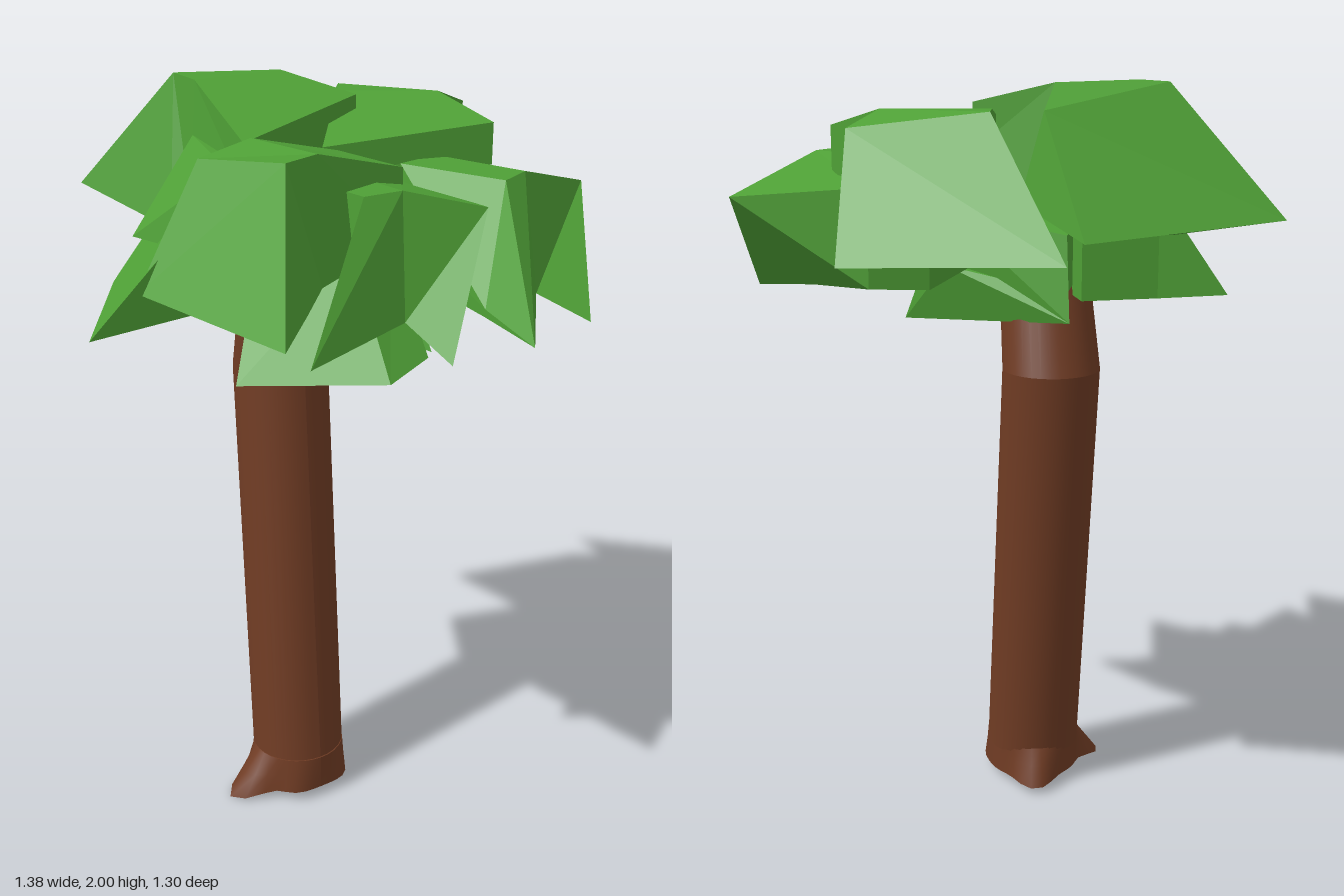
import * as THREE from 'three';

const leafGreen = new THREE.MeshStandardMaterial({ color: 0x4fa036, flatShading: true, side: THREE.DoubleSide });
leafGreen.name = 'leafGreen';
const barkBrown = new THREE.MeshStandardMaterial({ color: 0x703c24 });
barkBrown.name = 'barkBrown';

// Closed folded slab: rows run from the sharp outer edge to the crown.
// Each point is [x, y, z, drop, dx, dz]; drop is the thickness below that point,
// dx and dz flare the point below sideways.
function leafGeometry(rows, thickness) {
  const top = rows.map(row => row.map(p => new THREE.Vector3(p[0], p[1], p[2])));
  const bottom = rows.map((row, r) => row.map(([x, y, z, drop = r === 0 ? 0 : thickness, dx = 0, dz = 0]) =>
    new THREE.Vector3(x + dx, y - drop, z + dz)));
  const tris = [];
  const quad = (a, b, c, d) => {
    for (const t of [[a, b, c], [a, c, d]]) {
      const area = new THREE.Vector3().subVectors(t[1], t[0])
        .cross(new THREE.Vector3().subVectors(t[2], t[0])).length();
      if (area > 1e-7) tris.push(t);
    }
  };
  const R = rows.length - 1, C = rows[0].length - 1;
  for (let r = 0; r < R; r++) {
    for (let c = 0; c < C; c++) {
      quad(top[r][c], top[r + 1][c], top[r + 1][c + 1], top[r][c + 1]);
      quad(bottom[r][c], bottom[r][c + 1], bottom[r + 1][c + 1], bottom[r + 1][c]);
    }
    quad(top[r][0], bottom[r][0], bottom[r + 1][0], top[r + 1][0]);
    quad(top[r][C], top[r + 1][C], bottom[r + 1][C], bottom[r][C]);
  }
  for (let c = 0; c < C; c++) quad(top[R][c], bottom[R][c], bottom[R][c + 1], top[R][c + 1]);

  // Turn the faces outward
  const volume = tris.reduce((v, [a, b, c]) => v + a.dot(b.clone().cross(c)), 0);
  const pos = [];
  for (const [a, b, c] of tris)
    for (const p of volume > 0 ? [a, b, c] : [a, c, b]) pos.push(p.x, p.y, p.z);
  const g = new THREE.BufferGeometry();
  g.setAttribute('position', new THREE.Float32BufferAttribute(pos, 3));
  g.computeVertexNormals();
  return g;
}

// Leaning cylinder between two level rings [x, y, z, radius]
function trunkSection(a, b, capped) {
  const h = b[1] - a[1];
  const g = new THREE.CylinderGeometry(b[3], a[3], h, 32, 1, !capped);
  const p = g.attributes.position;
  for (let i = 0; i < p.count; i++) {
    const t = p.getY(i) / h + 0.5;
    p.setXYZ(i, p.getX(i) + a[0] + (b[0] - a[0]) * t, a[1] + h * t, p.getZ(i) + a[2] + (b[2] - a[2]) * t);
  }
  g.computeVertexNormals();
  return g;
}

// Root flare: the lower ring is pulled out into pointed lobes
function rootGeometry(centre, height, radius) {
  const g = new THREE.CylinderGeometry(radius, radius, height, 32, 2);
  const p = g.attributes.position;
  const lobes = [[Math.PI, 0.1, 0.03], [-1.05, 0.05, 0.01], [2.2, 0.015, 0], [0.9, 0.015, 0]];
  for (let i = 0; i < p.count; i++) {
    const x = p.getX(i), z = p.getZ(i), r = Math.hypot(x, z);
    const down = 0.5 - p.getY(i) / height;
    let out = 0, low = 0;
    if (r > 0.01) {
      const angle = Math.atan2(z, x);
      for (const [a, reach, dip] of lobes) {
        const w = Math.pow(Math.max(0, Math.cos(angle - a)), 14);
        out += reach * w;
        low += dip * w;
      }
    }
    const s = r > 0.01 ? 1 + out * down / r : 1;
    p.setXYZ(i, centre[0] + x * s, centre[1] + height - down * (height + low), centre[2] + z * s);
  }
  g.computeVertexNormals();
  return g;
}

const leaves = {
  backLeaf: [0.25, [
    [[-0.40, 1.68, -0.65], [0.12, 1.65, -0.55]],
    [[-0.22, 2.0, -0.41, 0.39, -0.07, 0.09], [0.11, 1.94, -0.36, 0.22, 0.03, 0.06]],
    [[-0.22, 2.0, -0.29, 0.36, -0.03, 0.02], [0.04, 2.0, -0.30, 0.28, 0.05, 0.03]],
    [[-0.25, 1.90, 0.02, 0.12], [0.17, 1.95, -0.13, 0.12]]]],
  backLeftLeaf: [0.26, [
    [[0.23, 1.62, -0.64], [0.62, 1.60, -0.27]],
    [[0.24, 1.94, -0.33, 0.3, -0.07, 0.03], [0.51, 1.90, -0.12]],
    [[0.18, 1.94, -0.24], [0.41, 1.94, -0.10]],
    [[-0.02, 1.86, 0.01, 0.11], [0.44, 1.89, 0.11, 0.11]]]],
  rightLeaf: [0.27, [
    [[-0.42, 1.46, -0.42], [-0.69, 1.48, 0.04]],
    [[-0.27, 1.72, -0.32], [-0.37, 1.77, 0.04]],
    [[-0.08, 1.72, -0.25], [-0.16, 1.74, 0.06]]]],
  upperRightLeaf: [0.12, [
    [[-0.42, 1.62, -0.28], [-0.36, 1.62, -0.08]],
    [[-0.23, 1.86, -0.29], [-0.29, 1.84, 0.0]],
    [[0.05, 1.84, -0.22], [0.05, 1.82, 0.06]]]],
  frontRightLeaf: [0.3, [
    [[-0.55, 1.57, 0.02], [-0.44, 1.56, 0.54]],
    [[-0.38, 1.88, 0.03], [-0.29, 1.91, 0.29, 0.33, -0.01, 0.11]],
    [[-0.23, 1.91, 0.02], [-0.18, 1.91, 0.25, 0.3, -0.03, 0.07]],
    [[0.02, 1.85, 0.02, 0.18], [0.13, 1.82, 0.15, 0.17, -0.03, 0.05]]]],
  frontLeftLeaf: [0.25, [
    [[0.17, 1.49, 0.65], [0.17, 1.49, 0.65], [0.39, 1.51, 0.38], [0.50, 1.44, 0.47]],
    [[0.167, 1.53, 0.46, 0.02], [0.29, 1.81, 0.36], [0.39, 1.81, 0.31], [0.69, 1.72, 0.18, 0.24, -0.22]],
    [[0.16, 1.66, 0.08, 0.12], [0.17, 1.81, 0.08], [0.30, 1.81, 0.05], [0.43, 1.75, -0.06]],
    [[0.03, 1.74, 0.02, 0.12], [0.04, 1.77, 0.02, 0.15], [0.10, 1.77, 0.0], [0.28, 1.74, -0.10]]]],
  frontLeaf: [0.26, [
    [[-0.34, 1.48, 0.48], [-0.02, 1.51, 0.39], [0.03, 1.43, 0.52]],
    [[-0.09, 1.81, 0.31], [0.02, 1.81, 0.31], [0.24, 1.75, 0.36, 0.27, -0.12]],
    [[-0.10, 1.80, 0.08], [0.02, 1.80, 0.08], [0.22, 1.75, 0.0]]]],
  lowFrontLeaf: [0.18, [
    [[-0.41, 1.38, 0.25], [-0.12, 1.40, 0.48], [0.03, 1.42, 0.42]],
    [[-0.26, 1.64, 0.10], [-0.08, 1.65, 0.25], [0.06, 1.65, 0.20]],
    [[-0.14, 1.65, -0.05], [-0.08, 1.65, 0.0], [0.0, 1.65, 0.0]]]],
  lowLeftLeaf: [0.15, [
    [[-0.03, 1.40, -0.27], [0.17, 1.35, 0.24]],
    [[-0.04, 1.62, -0.24], [0.15, 1.67, 0.05]],
    [[-0.16, 1.64, -0.12], [0.0, 1.68, 0.10]]]],
};

export function createModel() {
  const model = new THREE.Group();
  const add = (name, geometry, material, parent) => {
    const mesh = new THREE.Mesh(geometry, material);
    mesh.name = name;
    parent.add(mesh);
  };

  // Trunk: flared root, long leaning shaft, bent neck under the crown
  const trunk = new THREE.Group();
  trunk.name = 'trunk';
  model.add(trunk);
  const foot = [-0.11, 0.1, 0.015, 0.13];
  const bend = [-0.075, 1.25, -0.12, 0.13];
  const crown = [-0.105, 1.62, -0.02, 0.115];
  add('rootFlare', rootGeometry([-0.11, 0.03, 0.015], 0.1, 0.13), barkBrown, trunk);
  add('trunkShaft', trunkSection(foot, bend, false), barkBrown, trunk);
  add('trunkNeck', trunkSection(bend, crown, true), barkBrown, trunk);

  // Crown of folded leaves
  const foliage = new THREE.Group();
  foliage.name = 'foliage';
  model.add(foliage);
  for (const [name, [thickness, rows]] of Object.entries(leaves))
    add(name, leafGeometry(rows, thickness), leafGreen, foliage);

  return model;
}
